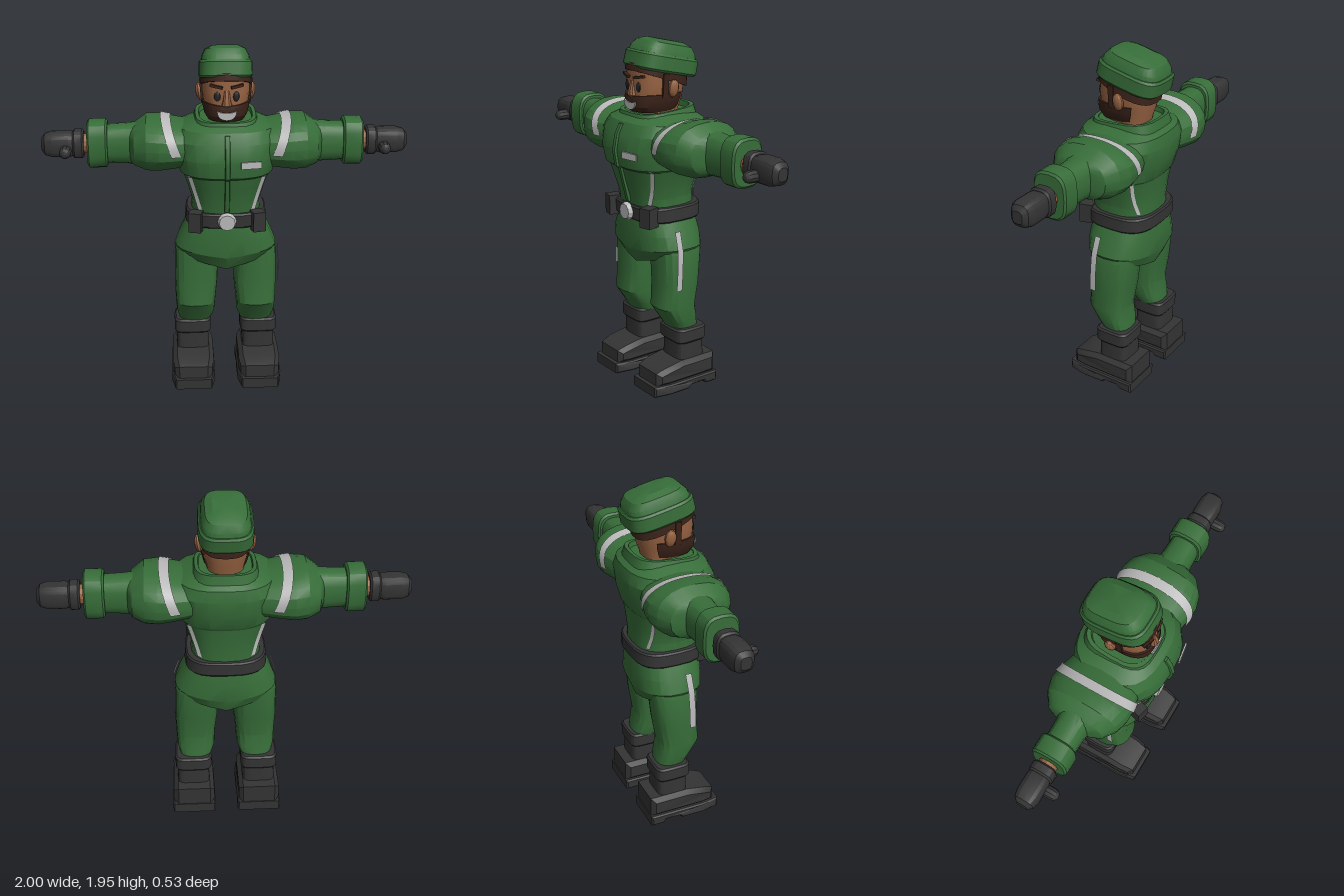
import * as THREE from 'three';
import { toCreasedNormals } from 'three/addons/utils/BufferGeometryUtils.js';

const material = (name, color, side = THREE.FrontSide) => {
  const m = new THREE.MeshStandardMaterial({ color, side });
  m.name = name;
  return m;
};
const rad = THREE.MathUtils.degToRad;
const V = (x, y, z) => new THREE.Vector3(x, y, z);

// rounded-square unit circle; p = 2 is round, larger is boxier
const power = (v, p) => Math.sign(v) * Math.abs(v) ** (2 / p);
const sweep = (n, from = 0, to = 360) => Array.from({ length: n }, (_, i) => rad(from + (to - from) * i / n));

// horizontal ring [y, halfWidth, zFront, zBack, centreX]
const ringY = ([y, rx, zf, zb, cx = 0], p = 2.6, angles = sweep(24)) => angles.map((t) =>
  V(cx + rx * power(Math.cos(t), p), y, (zf + zb) / 2 + (zf - zb) / 2 * power(Math.sin(t), p)));
// upright ring across an arm [x, centreY, centreZ, ry, rz]
const ringX = ([x, cy, cz, ry, rz], p = 2.3, angles = sweep(20)) => angles.map((t) =>
  V(x, cy + ry * power(Math.sin(t), p), cz + rz * power(Math.cos(t), p)));

// skin a series of rings; closed ones get end caps
function loft(rings, closed = true) {
  const pos = [], n = rings[0].length;
  const tri = (...v) => v.forEach((q) => pos.push(q.x, q.y, q.z));
  const last = closed ? n : n - 1;
  for (let i = 0; i < rings.length - 1; i++) for (let j = 0; j < last; j++) {
    const k = (j + 1) % n, [a, b, c, d] = [rings[i][j], rings[i][k], rings[i + 1][k], rings[i + 1][j]];
    tri(a, d, b);
    tri(b, d, c);
  }
  if (closed) [rings[0], rings.at(-1)].forEach((r, top) => {
    const c = r.reduce((s, q) => s.add(q), V(0, 0, 0)).divideScalar(n);
    r.forEach((q, j) => (top ? tri(c, r[(j + 1) % n], q) : tri(c, q, r[(j + 1) % n])));
  });
  const g = new THREE.BufferGeometry();
  g.setAttribute('position', new THREE.Float32BufferAttribute(pos, 3));
  return g;
}
const loftY = (rows, p, n = 24) => loft(rows.map((r) => ringY(r, p, sweep(n))));
const loftX = (rows, p, n = 20) => loft(rows.map((r) => ringX(r, p, sweep(n))));
const strip = (points, w) => loft(points.map((q) => [q.clone().sub(w), q.clone().add(w)]), false);

// interpolate a profile table by its first column
function at(rows, k) {
  let i = 0;
  while (i < rows.length - 2 && rows[i + 1][0] < k) i++;
  const f = (k - rows[i][0]) / (rows[i + 1][0] - rows[i][0]);
  return rows[i].map((v, c) => v + (rows[i + 1][c] - v) * f);
}

function mirrored(geo) {
  const g = geo.index ? geo.toNonIndexed() : geo.clone(), a = g.attributes.position;
  const q = [0, 1, 2].map(() => V(0, 0, 0));
  for (let i = 0; i < a.count; i += 3) {
    q.forEach((v, j) => v.fromBufferAttribute(a, i + j));
    [0, 2, 1].forEach((s, j) => a.setXYZ(i + j, -q[s].x, q[s].y, q[s].z));
  }
  return g;
}

// side profile (z, y) extruded across x with a small bevel
function sideExtrude(points, width, cx, bevel = 0.012) {
  const shape = new THREE.Shape(points.map(([z, y]) => new THREE.Vector2(z, y)));
  const g = new THREE.ExtrudeGeometry(shape, { depth: width - 2 * bevel, bevelThickness: bevel, bevelSize: bevel, bevelOffset: -bevel, bevelSegments: 1 });
  g.rotateY(-Math.PI / 2).translate(cx + width / 2 - bevel, 0, 0);
  const a = g.attributes.position;
  for (let i = 0; i < a.count; i++) { // narrow the toe
    const k = Math.max(0, a.getZ(i) - 0.1) / 0.1;
    a.setX(i, cx + (a.getX(i) - cx) * (1 - 0.16 * k));
  }
  return g;
}

export function createModel() {
  const green = material('uniform green', 0x376d39);
  const black = material('black leather', 0x343434);
  const skin = material('skin', 0x976342);
  const hair = material('dark brown hair', 0x3b231a, THREE.DoubleSide);
  const silver = material('reflective silver', 0xbababa, THREE.DoubleSide);
  const dark = material('eye dark', 0x262626);

  const model = new THREE.Group();
  model.name = 'uniformedFigure';
  const add = (name, geo, mat) => {
    geo.deleteAttribute('normal');
    const m = new THREE.Mesh(toCreasedNormals(geo, 0.4), mat);
    m.name = name;
    model.add(m);
  };
  const pair = (name, geo, mat) => {
    add('left' + name, geo, mat);
    add('right' + name, mirrored(geo), mat);
  };

  // jacket
  const torso = [[0.98, 0.2, 0.15, -0.205], [1.1, 0.187, 0.165, -0.205], [1.2, 0.215, 0.195, -0.213],
    [1.265, 0.238, 0.212, -0.222], [1.28, 0.256, 0.235, -0.232], [1.37, 0.28, 0.25, -0.256],
    [1.46, 0.29, 0.232, -0.265], [1.52, 0.26, 0.2, -0.25], [1.56, 0.17, 0.14, -0.2]];
  add('jacketBody', loftY(torso), green);
  add('zipPlacket', loftY([1.07, 1.2, 1.265, 1.28, 1.37, 1.46, 1.51].map((y) => {
    const zf = at(torso, y)[2];
    return [y, 0.014, zf + 0.013, zf - 0.03];
  }), 6, 12), green);
  const torsoPoint = (x, y, s) => {
    const [, rx, zf, zb] = at(torso, y);
    return V(x, y, (zf + zb) / 2 + s * ((zf - zb) / 2 * (1 - (x / rx) ** 2.6) ** (1 / 2.6) + 0.007));
  };
  for (const [name, s] of [['FrontStripe', 1], ['BackStripe', -1]]) {
    const path = [1.07, 1.14, 1.2, 1.265, 1.285].map((y) => torsoPoint(0.145 + (y - 1.07) * 0.28, y, s));
    pair(name, strip(path, V(0.011, 0, -0.005 * s)), silver);
  }
  add('chestBadge', new THREE.BoxGeometry(0.11, 0.037, 0.009).rotateY(0.16).translate(0.125, 1.358, 0.245), silver);
  // hollow collar, higher at the back
  const collar = [[1.515, 0.185, 0.175, -0.225], [1.575, 0.165, 0.155, -0.21], [1.575, 0.145, 0.135, -0.19], [1.53, 0.135, 0.12, -0.18]]
    .map((r) => ringY(r, 3.2).map((q) => q.setY(q.y - 0.08 * q.z)));
  add('collar', loft(collar), green);

  // jacket skirt, dipping to a point at front and back
  const skirt = [[0.785, 0.265, 0.115, -0.185, 0.075], [0.83, 0.284, 0.155, -0.215, 0.04], [0.9, 0.257, 0.162, -0.217, 0], [0.99, 0.213, 0.155, -0.207, 0]]
    .map(([y, rx, zf, zb, sag]) => ringY([y, rx, zf, zb]).map((q) => q.setY(y - sag * (1 - Math.abs(q.x) / rx))));
  add('jacketSkirt', loft(skirt), green);

  // belt
  add('belt', loftY([[0.973, 0.219, 0.163, -0.222], [0.982, 0.226, 0.17, -0.229], [1.048, 0.222, 0.175, -0.229], [1.057, 0.214, 0.168, -0.222]], 3), black);
  pair('BeltPouch', new THREE.BoxGeometry(0.07, 0.11, 0.075).rotateY(0.25).translate(0.168, 1.013, 0.148), black);
  add('beltBuckle', new THREE.CylinderGeometry(0.043, 0.052, 0.025, 12).rotateX(Math.PI / 2).translate(0, 1.015, 0.183), silver);

  // puffed sleeves, forearms and cuffs
  const sleeve = [[0.16, 1.41, -0.03, 0.115, 0.19], [0.28, 1.413, -0.032, 0.132, 0.222], [0.36, 1.415, -0.035, 0.147, 0.228],
    [0.43, 1.415, -0.035, 0.147, 0.208], [0.495, 1.405, -0.037, 0.112, 0.16], [0.52, 1.405, -0.038, 0.095, 0.09]];
  pair('Sleeve', loftX(sleeve), green);
  pair('Forearm', loftX([[0.44, 1.408, -0.038, 0.118, 0.1], [0.54, 1.408, -0.038, 0.11, 0.084], [0.68, 1.408, -0.038, 0.104, 0.08]], 2.6), green);
  pair('SleeveCuff', loftX([[0.64, 1.41, -0.038, 0.118, 0.09], [0.65, 1.41, -0.038, 0.13, 0.1], [0.74, 1.41, -0.038, 0.13, 0.1], [0.75, 1.41, -0.038, 0.118, 0.09]], 3), green);
  const band = sweep(24, -8, 196).map((t) => {
    const pointAt = (x) => {
      const [, cy, cz, ry, rz] = at(sleeve, x);
      return ringX([x, cy, cz, ry + 0.007, rz + 0.007], 2.3, [t])[0];
    };
    const x = 0.272 + (pointAt(0.29).y - 1.4) * 0.35;
    return [pointAt(x - 0.027), pointAt(x + 0.027)];
  });
  pair('SleeveStripe', loft(band, false), silver);

  // wrists and gloves
  pair('Wrist', loftX([[0.72, 1.408, -0.038, 0.055, 0.052], [0.79, 1.408, -0.038, 0.055, 0.052]], 2, 12), skin);
  pair('GloveCuff', loftX([[0.77, 1.408, -0.04, 0.068, 0.058], [0.78, 1.408, -0.04, 0.078, 0.066], [0.82, 1.408, -0.04, 0.078, 0.066], [0.83, 1.408, -0.04, 0.068, 0.058]], 3, 16), black);
  pair('GloveHand', loftX([[0.8, 1.408, -0.04, 0.058, 0.052], [0.85, 1.408, -0.04, 0.07, 0.063], [0.94, 1.408, -0.04, 0.07, 0.063],
    [0.98, 1.408, -0.04, 0.059, 0.053], [1, 1.408, -0.04, 0.034, 0.03]], 3, 16), black);
  pair('GloveThumb', new THREE.CapsuleGeometry(0.032, 0.07, 3, 10).rotateX(Math.PI / 2).translate(0.867, 1.383, 0.025), black);

  // trousers
  pair('Leg', loftY([[0.33, 0.085, 0.01, -0.15, 0.175], [0.4, 0.108, 0.05, -0.14, 0.172], [0.48, 0.113, 0.105, -0.128, 0.172],
    [0.62, 0.123, 0.092, -0.15, 0.167], [0.8, 0.122, 0.1, -0.17, 0.163], [0.9, 0.105, 0.1, -0.17, 0.145]], 2.6, 18), green);
  pair('LegStripe', strip([V(0.257, 0.93, 0.02), V(0.29, 0.83, 0.025), V(0.297, 0.72, 0.03), V(0.296, 0.6, 0.035)], V(0, 0, 0.018)), silver);

  // boots
  const bootX = 0.19;
  pair('BootCuff', loftY([[0.27, 0.098, 0.02, -0.168, bootX], [0.28, 0.105, 0.03, -0.175, bootX], [0.345, 0.105, 0.03, -0.175, bootX], [0.355, 0.096, 0.02, -0.166, bootX]], 5, 24), black);
  pair('BootShaft', loftY([[0.14, 0.094, 0.015, -0.165, bootX], [0.28, 0.09, 0.012, -0.16, bootX]], 5, 24), black);
  pair('BootFoot', sideExtrude([[-0.22, 0.05], [0.1, 0.05], [0.178, 0.05], [0.175, 0.13], [0.15, 0.142], [0.1, 0.157], [0.01, 0.172], [-0.22, 0.172]], 0.235, bootX, 0.025), black);
  pair('BootSole', sideExtrude([[-0.225, 0], [-0.15, 0], [-0.135, 0.02], [-0.05, 0.02], [-0.03, 0], [0.1, 0], [0.198, 0], [0.2, 0.06], [0.1, 0.06], [-0.225, 0.06]], 0.25, bootX, 0.008), black);

  // head
  const head = [[1.5, 0.1, 0.06, -0.13], [1.57, 0.1, 0.1, -0.14], [1.63, 0.117, 0.135, -0.16], [1.72, 0.13, 0.138, -0.17], [1.84, 0.125, 0.13, -0.18]];
  add('head', loftY(head), skin);
  add('nose', loftY([[1.645, 0.02, 0.148, 0.1], [1.657, 0.028, 0.16, 0.1], [1.68, 0.022, 0.158, 0.1], [1.735, 0.014, 0.142, 0.1]], 3, 10), skin);
  pair('Ear', new THREE.SphereGeometry(1, 10, 8).scale(0.022, 0.05, 0.032).rotateZ(-0.15).translate(0.139, 1.692, -0.035), skin);
  pair('Eye', new THREE.SphereGeometry(1, 12, 8).scale(0.017, 0.027, 0.007).rotateY(0.15).translate(0.05, 1.703, 0.132), dark);
  pair('Eyebrow', new THREE.BoxGeometry(0.068, 0.014, 0.022).rotateZ(0.18).rotateY(0.25).translate(0.055, 1.757, 0.131), hair);

  // hair below the hat, lower at the back
  const hairTop = ringY([1.83, 0.134, 0.139, -0.188]);
  const hairEdge = ringY([1.74, 0.137, 0.145, -0.186]).map((q) => q.setY(1.739 + 0.34 * q.z));
  add('hair', loft([hairEdge, hairTop]), hair);
  pair('Sideburn', new THREE.BoxGeometry(0.012, 0.13, 0.034).rotateZ(-0.08).translate(0.131, 1.71, 0.012), hair);

  // beard wrapping the jaw, with a moustache dip above the mouth
  const jaw = [...sweep(24, -30, 210), rad(210)];
  const beard = [[1.56, 0.06, 0.08, -0.1], [1.565, 0.1, 0.128, -0.13], [1.595, 0.117, 0.147, -0.15], [1.635, 0.126, 0.151, -0.165],
    [1.66, 0.13, 0.147, -0.168], [1.66, 0.115, 0.13, -0.155]].map((r, i) => ringY(r, 2.6, jaw).map((q) => {
    if (i > 3) q.y += 0.012 * Math.min(1, Math.abs(q.x) / 0.1) - 0.01;
    return q;
  }));
  add('beard', loft(beard, false), hair);
  const grin = new THREE.Shape();
  grin.moveTo(-0.052, 1.628);
  grin.quadraticCurveTo(0, 1.606, 0.052, 1.628);
  grin.quadraticCurveTo(0.05, 1.58, 0, 1.578);
  grin.quadraticCurveTo(-0.05, 1.58, -0.052, 1.628);
  add('teeth', new THREE.ExtrudeGeometry(grin, { depth: 0.008, bevelEnabled: false, curveSegments: 6 }).translate(0, 0, 0.147), silver);

  // hat with a turned-up band, tilted back
  const hat = (rows) => loftY(rows.map(([y, rx, rz]) => [y, rx, rz, -rz]), 3.6, 28).rotateX(-0.22).translate(0, 1.768, -0.043);
  add('hatBand', hat([[-0.002, 0.136, 0.18], [0.01, 0.145, 0.19], [0.08, 0.143, 0.189], [0.092, 0.134, 0.18]]), green);
  add('hatCrown', hat([[0.07, 0.134, 0.18], [0.115, 0.126, 0.168], [0.15, 0.108, 0.142], [0.168, 0.07, 0.095]]), green);
  return model;
}
